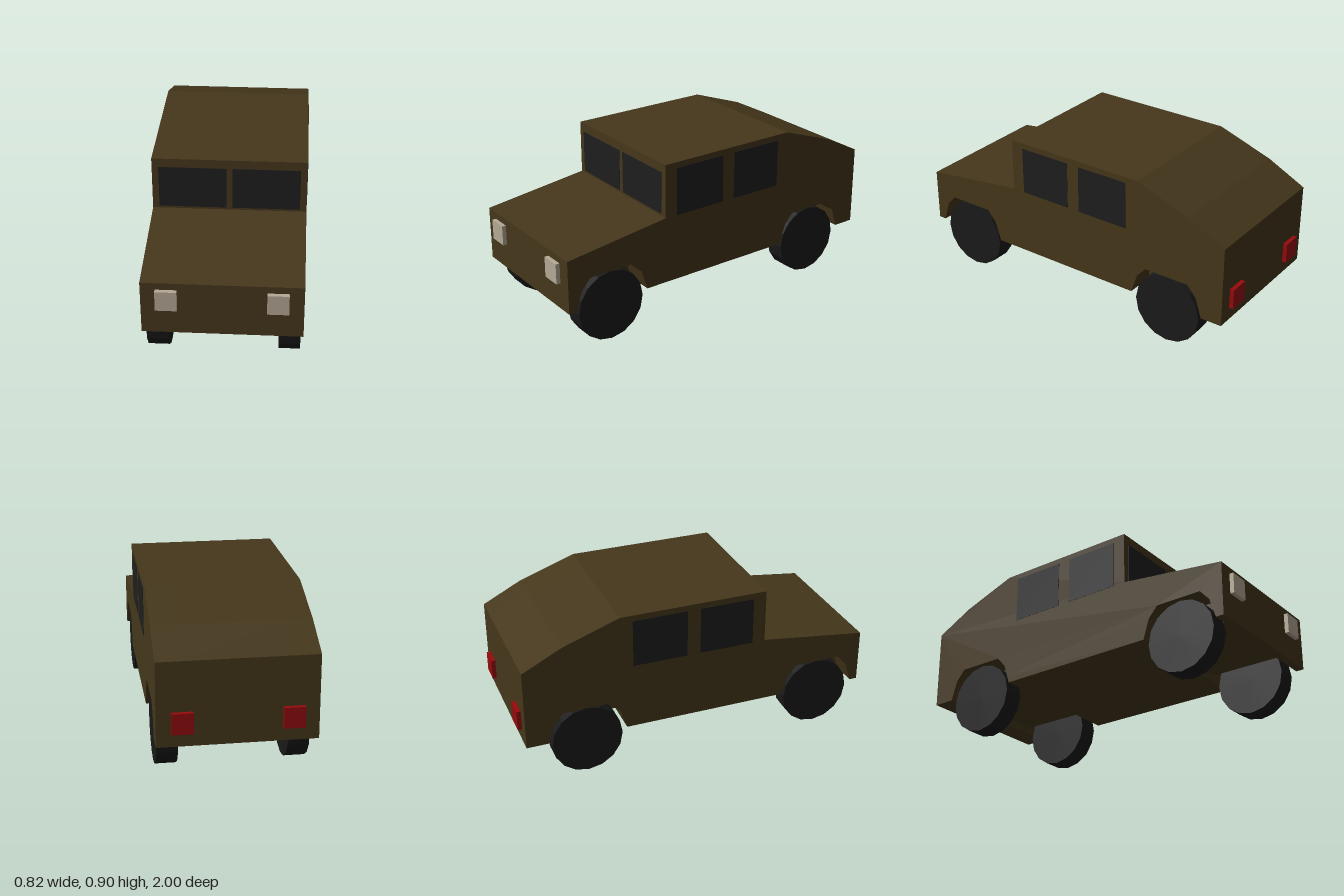
import * as THREE from 'three';

const paint = (color) => new THREE.MeshStandardMaterial({ color, flatShading: true });

const HALF_WIDTH = 0.41;
const WELL = 0.265; // inner wall of the wheel wells
const FLOOR = 0.23;
const AXLES = [0.715, -0.638];

// Upper side outline as [z, y], from the front bottom corner over the roof to the back
const OUTLINE = [
  [0.977, FLOOR], [0.977, 0.527], [0.378, 0.603], [0.378, 0.9],
  [-0.447, 0.9], [-0.76, 0.79], [-0.977, 0.68], [-0.977, FLOOR],
];
// Cut-outs under the body, relative to the axle, from back to front
const ARCH = [[-0.218, FLOOR], [-0.205, 0.27], [-0.183, 0.34], [-0.13, 0.4],
  [0.13, 0.4], [0.183, 0.34], [0.205, 0.27], [0.218, FLOOR]];
const CHANNEL = [[-0.218, FLOOR], [-0.205, 0.268], [0.205, 0.268], [0.218, FLOOR]];

// Extrude the side outline across x, with the given cut-out at each axle
function bodySlice(cut, x0, x1) {
  const points = [...OUTLINE];
  for (const axle of [...AXLES].reverse()) {
    for (const [dz, y] of cut) points.push([axle + dz, y]);
  }
  const shape = new THREE.Shape(points.map(([z, y]) => new THREE.Vector2(-z, y)));
  const geometry = new THREE.ExtrudeGeometry(shape, { depth: x1 - x0, bevelEnabled: false });
  return geometry.rotateY(Math.PI / 2).translate(x0, 0, 0);
}

export function createModel() {
  const model = new THREE.Group();
  const bodyPaint = paint(0x45371b);
  const glass = paint(0x1e1e1e);
  const rubber = paint(0x1a1a1a);
  const lampGlass = paint(0xb5a995);
  const red = paint(0x960a0c);

  function add(name, geometry, material, x = 0, y = 0, z = 0) {
    const mesh = new THREE.Mesh(geometry, material);
    mesh.name = name;
    mesh.position.set(x, y, z);
    model.add(mesh);
  }

  // Body: a centre section between two sides with wheel arches
  add('bodyCentre', bodySlice(CHANNEL, -WELL, WELL), bodyPaint);
  add('bodyLeft', bodySlice(ARCH, WELL, HALF_WIDTH), bodyPaint);
  add('bodyRight', bodySlice(ARCH, -HALF_WIDTH, -WELL), bodyPaint);

  const wheel = new THREE.CylinderGeometry(0.196, 0.196, 0.112, 16).rotateZ(Math.PI / 2);
  const windshield = new THREE.BoxGeometry(0.36, 0.235, 0.004);
  const sideWindow = new THREE.BoxGeometry(0.004, 0.265, 0.305);
  const lamp = new THREE.BoxGeometry(0.11, 0.112, 0.03);

  for (const [side, s] of [['Left', 1], ['Right', -1]]) {
    add('windshield' + side, windshield, glass, s * 0.195, 0.733, 0.378);
    add('headlight' + side, lamp, lampGlass, s * 0.28, 0.433, 0.985);
    add('tailLight' + side, lamp, red, s * 0.28, 0.358, -0.985);
    add('frontWindow' + side, sideWindow, glass, s * HALF_WIDTH, 0.735, 0.153);
    add('rearWindow' + side, sideWindow, glass, s * HALF_WIDTH, 0.735, -0.226);
    add('frontWheel' + side, wheel, rubber, s * 0.34, 0.196, AXLES[0]);
    add('rearWheel' + side, wheel, rubber, s * 0.34, 0.196, AXLES[1]);
  }
  return model;
}
